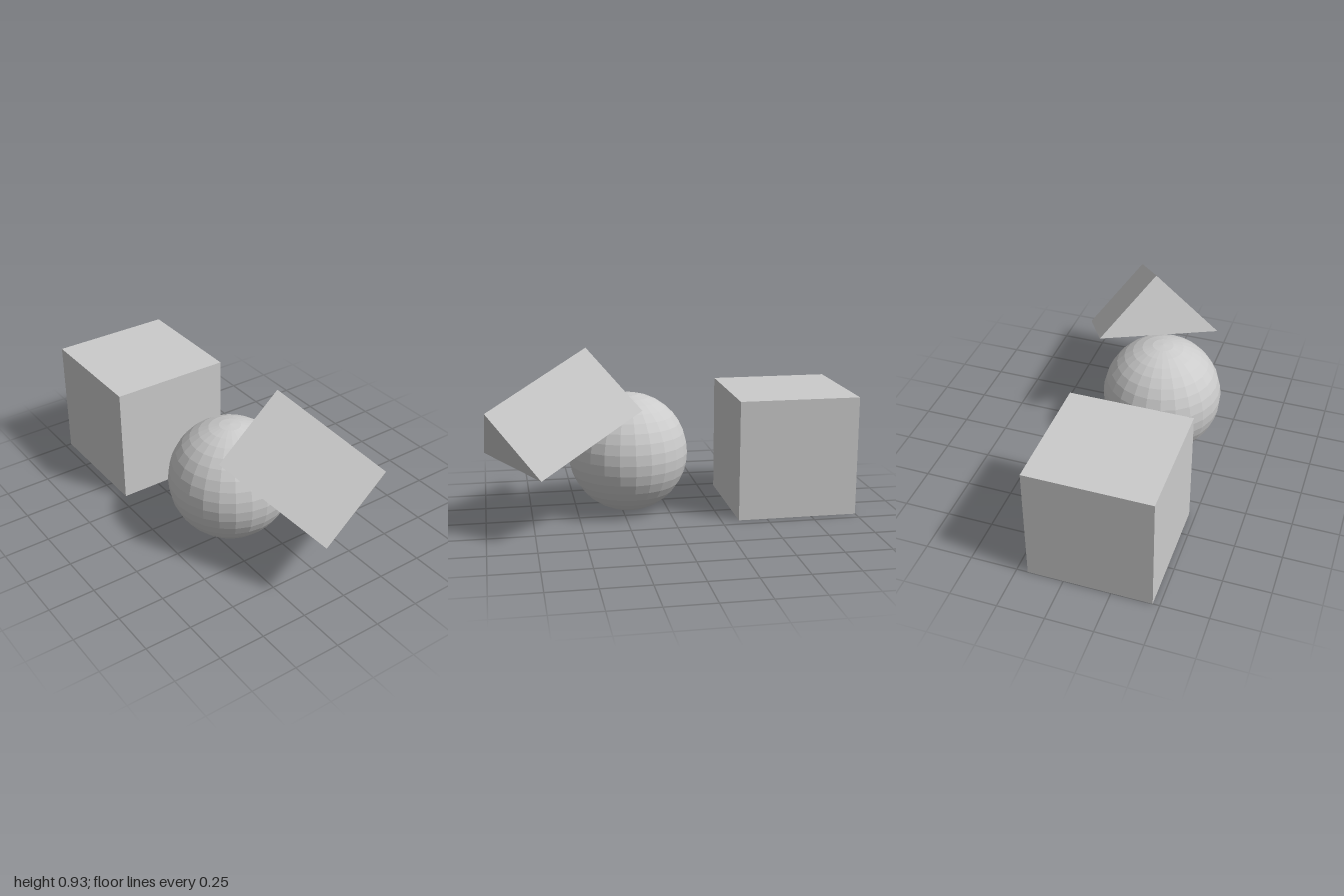
import * as THREE from 'three';

const SIZE = 0.655; // shared edge length and sphere diameter
const HALF = SIZE / 2;
const Z = 0.137;

export function createModel() {
  const group = new THREE.Group();
  const material = new THREE.MeshStandardMaterial({ color: 0xcccccc, flatShading: true });

  const add = (name, geometry, x, y, z) => {
    const mesh = new THREE.Mesh(geometry, material);
    mesh.name = name;
    mesh.position.set(x, y, z);
    group.add(mesh);
    return mesh;
  };

  add('cube', new THREE.BoxGeometry(SIZE, SIZE, SIZE), -1 + HALF, HALF, Z);
  add('sphere', new THREE.SphereGeometry(HALF, 24, 18), 0.212, HALF, Z);

  // Right-angled triangular prism, resting tilted on the sphere
  const triangle = new THREE.Shape([
    new THREE.Vector2(-HALF, 0),
    new THREE.Vector2(HALF, 0),
    new THREE.Vector2(0, HALF),
  ]);
  const prism = new THREE.ExtrudeGeometry(triangle, { depth: SIZE, bevelEnabled: false });
  const wedge = add('wedge', prism, 0.32, 0.635, 0.08);
  wedge.rotation.set(0.44, 2.004, 0, 'YXZ');

  return group;
}
